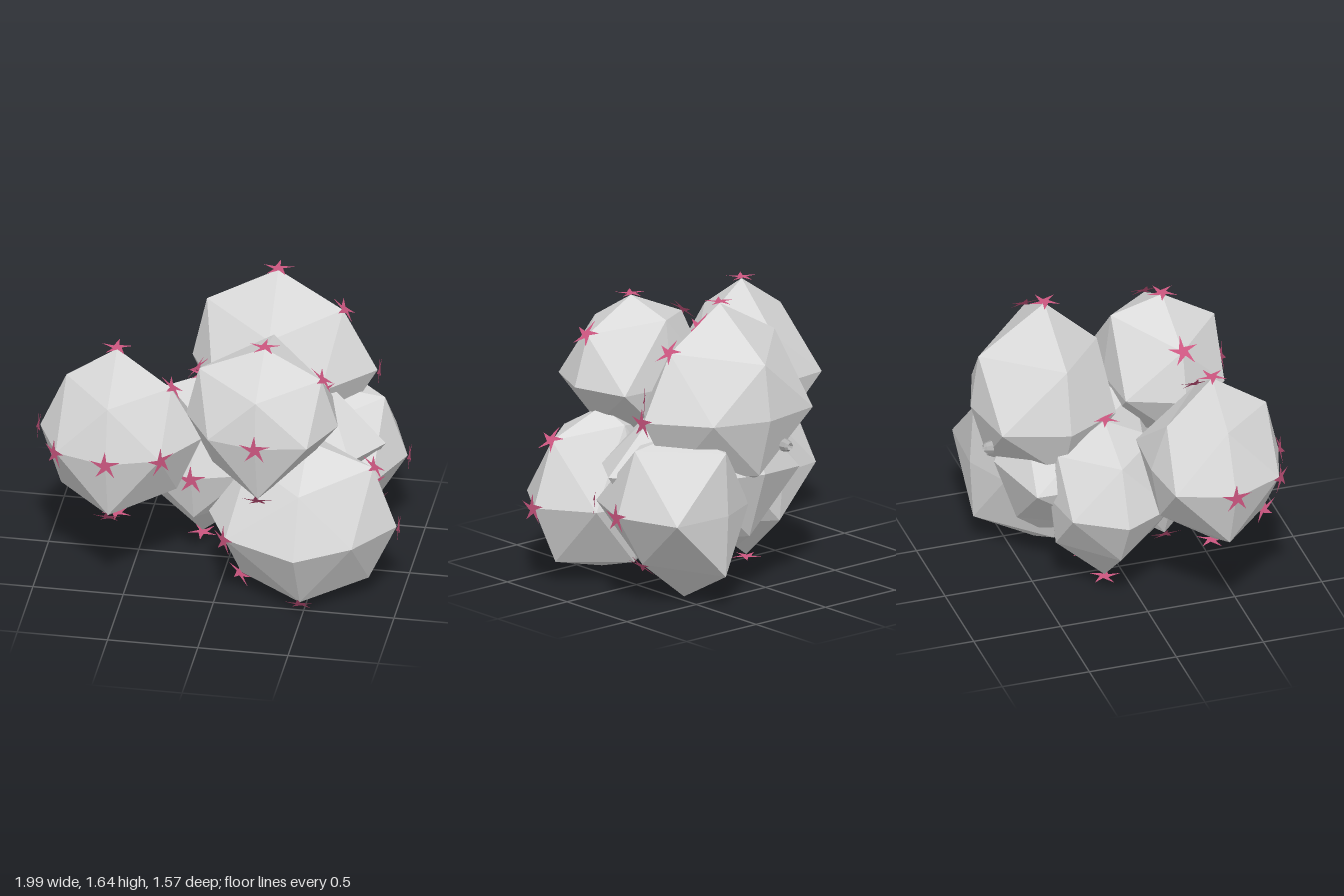
import * as THREE from 'three';

const stone = new THREE.MeshStandardMaterial({ color: 0xdadada, flatShading: true });
stone.name = 'stone grey';
const pink = new THREE.MeshStandardMaterial({ color: 0xcc5680, flatShading: true, side: THREE.DoubleSide });
pink.name = 'starfish pink';
const shell = new THREE.MeshStandardMaterial({ color: 0xb0b0b0, flatShading: true, side: THREE.DoubleSide });
shell.name = 'shell grey';

const sign = (v) => (Math.abs(v) < 0.1 ? 0 : Math.sign(v));
const keyOf = (s) => s.map((v) => (v > 0 ? '+' : v < 0 ? '-' : '0')).join('');

// Corner of a rock for a triple of signs
function corner(rock, s) {
  const bent = rock.bend[keyOf(s)];
  if (bent) return new THREE.Vector3(...bent);
  const used = [0, 1, 2].filter((i) => s[i] !== 0);
  let reach;
  if (used.length === 1) {
    reach = rock.axis[used[0] * 2 + (s[used[0]] < 0 ? 1 : 0)];
  } else {
    const plane = used.map((i) => 'xyz'[i]).join('');
    reach = rock[plane][(s[used[0]] < 0 ? 2 : 0) + (s[used[1]] < 0 ? 1 : 0)];
  }
  return new THREE.Vector3(...s).multiplyScalar(reach);
}

// Flat five-armed pinwheel star, facing +z
function starGeometry() {
  const points = [];
  const ring = (i) => {
    const tip = i % 2 === 0;
    const a = Math.PI / 2 + (i * Math.PI) / 5 + (tip ? 0 : 0.3);
    const r = tip ? 0.09 : 0.026;
    return [Math.cos(a) * r, Math.sin(a) * r, 0];
  };
  for (let i = 0; i < 10; i++) points.push(0, 0, 0, ...ring(i), ...ring(i + 1));
  const geo = new THREE.BufferGeometry();
  geo.setAttribute('position', new THREE.Float32BufferAttribute(points, 3));
  geo.computeVertexNormals();
  return geo;
}

// Subdivided octahedron with each corner pushed out, plus its starfish.
// axis: reach along +x -x +y -y +z -z
// xy, xz, yz: reach of the diagonal corners in order ++ +- -+ --
// bend: corners that leave the exact diagonal; stars: corners carrying a starfish
function makeRock(name, rock, starGeo) {
  const group = new THREE.Group();
  group.name = name;
  group.position.set(...rock.at);

  const geo = new THREE.OctahedronGeometry(1, 1);
  const pos = geo.attributes.position;
  for (let i = 0; i < pos.count; i++) {
    const c = corner(rock, [sign(pos.getX(i)), sign(pos.getY(i)), sign(pos.getZ(i))]);
    pos.setXYZ(i, c.x, c.y, c.z);
  }
  geo.computeVertexNormals();
  const mesh = new THREE.Mesh(geo, stone);
  mesh.name = 'stone';
  group.add(mesh);

  for (const key of rock.stars.split(' ')) {
    const s = [...key].map((c) => (c === '+' ? 1 : c === '-' ? -1 : 0));
    const dir = new THREE.Vector3(...s).normalize();
    const star = new THREE.Mesh(starGeo, pink);
    star.name = 'starfish';
    star.position.copy(corner(rock, s)).addScaledVector(dir, 0.01);
    // Turn about y first, then tilt up or down
    star.rotation.order = 'YXZ';
    star.rotation.set(-Math.asin(dir.y), Math.atan2(dir.x, dir.z), 0);
    group.add(star);
  }
  return group;
}

export function createModel() {
  const model = new THREE.Group();
  model.name = 'rockCluster';
  const starGeo = starGeometry();
  const addRock = (name, rock) => model.add(makeRock(name, rock, starGeo));

  addRock('leftRock', {
    at: [-0.56, 0.94, 0.35], axis: [0.47, 0.425, 0.52, 0.5, 0.38, 0.35],
    xy: [0.3, 0.33, 0.305, 0.33], xz: [0.285, 0.33, 0.29, 0.31], yz: [0.31, 0.26, 0.345, 0.3],
    bend: { '--0': [-0.31, -0.35, 0], '-+0': [-0.28, 0.33, 0], '0-+': [0, -0.365, 0.29] },
    stars: '00+ +0+ -0+ 0-+ 0+0 ++0 -00 0-0',
  });
  addRock('upperFrontRock', {
    at: [0.255, 1.08, 0.33], axis: [0.405, 0.435, 0.45, 0.4, 0.33, 0.34],
    xy: [0.3, 0.23, 0.335, 0.29], xz: [0.28, 0.32, 0.27, 0.31], yz: [0.29, 0.33, 0.3, 0.29],
    bend: { '0-+': [0, -0.365, 0.235], '0+-': [0, 0.37, -0.295], '0++': [0, 0.27, 0.3],
      '-+0': [-0.365, 0.29, 0], '++0': [0.315, 0.28, 0] },
    stars: '00+ 0+0 ++0 -+0 0-+',
  });
  addRock('lowerFrontRock', {
    at: [0.49, 0.46, 0.3], axis: [0.49, 0.55, 0.49, 0.42, 0.485, 0.34],
    xy: [0.36, 0.335, 0.33, 0.37], xz: [0.29, 0.29, 0.37, 0.27], yz: [0.315, 0.25, 0.32, 0.3],
    bend: { '0-+': [0, -0.37, 0.27], '-0+': [-0.41, 0, 0.3], '0--': [0, -0.34, -0.27],
      '0+-': [0, 0.42, -0.19] },
    stars: '+00 ++0 -0+ 0-+ --0',
  });
  addRock('topBackRock', {
    at: [0.21, 1.05, -0.36], axis: [0.55, 0.475, 0.58, 0.5, 0.36, 0.425],
    xy: [0.36, 0.35, 0.38, 0.33], xz: [0.285, 0.315, 0.31, 0.36], yz: [0.3, 0.35, 0.29, 0.33],
    bend: { '0+-': [0, 0.31, -0.38], '-+0': [-0.395, 0.36, 0] },
    stars: '+00 ++0 +0+ 0+0',
  });
  addRock('lowerBackRock', {
    at: [0.45, 0.54, -0.34], axis: [0.48, 0.5, 0.4, 0.54, 0.4, 0.37],
    xy: [0.355, 0.3, 0.3, 0.35], xz: [0.34, 0.355, 0.3, 0.25], yz: [0.3, 0.35, 0.3, 0.35],
    bend: {},
    stars: '+00 +0+ +-0',
  });
  addRock('innerLeftRock', {
    at: [-0.17, 0.61, -0.14], axis: [0.42, 0.44, 0.445, 0.535, 0.38, 0.31],
    xy: [0.3, 0.3, 0.31, 0.285], xz: [0.29, 0.25, 0.29, 0.27], yz: [0.29, 0.27, 0.29, 0.28],
    bend: {},
    stars: '00+ 0+0 0-0',
  });
  addRock('coreRock', {
    at: [0.15, 0.71, -0.16], axis: [0.69, 0.45, 0.4, 0.65, 0.39, 0.51],
    xy: [0.34, 0.4, 0.3, 0.32], xz: [0.4, 0.4, 0.28, 0.36], yz: [0.3, 0.35, 0.33, 0.38],
    bend: { '++0': [0.34, 0.36, -0.03], '+0+': [0.53, 0, 0.24], '-0-': [-0.36, -0.05, -0.38] },
    stars: '00+ 0-0',
  });

  // Small ribbed barnacle on the back
  const barnacle = new THREE.Mesh(
    new THREE.LatheGeometry([[0.038, -0.03], [0.03, 0.005], [0.02, 0.018], [0.012, 0.0], [0, -0.01]]
      .map(([r, y]) => new THREE.Vector2(r, y)), 8), shell);
  barnacle.name = 'barnacle';
  barnacle.position.set(0.05, 0.87, -0.745);
  barnacle.rotation.x = -Math.PI / 2;
  model.add(barnacle);

  return model;
}
